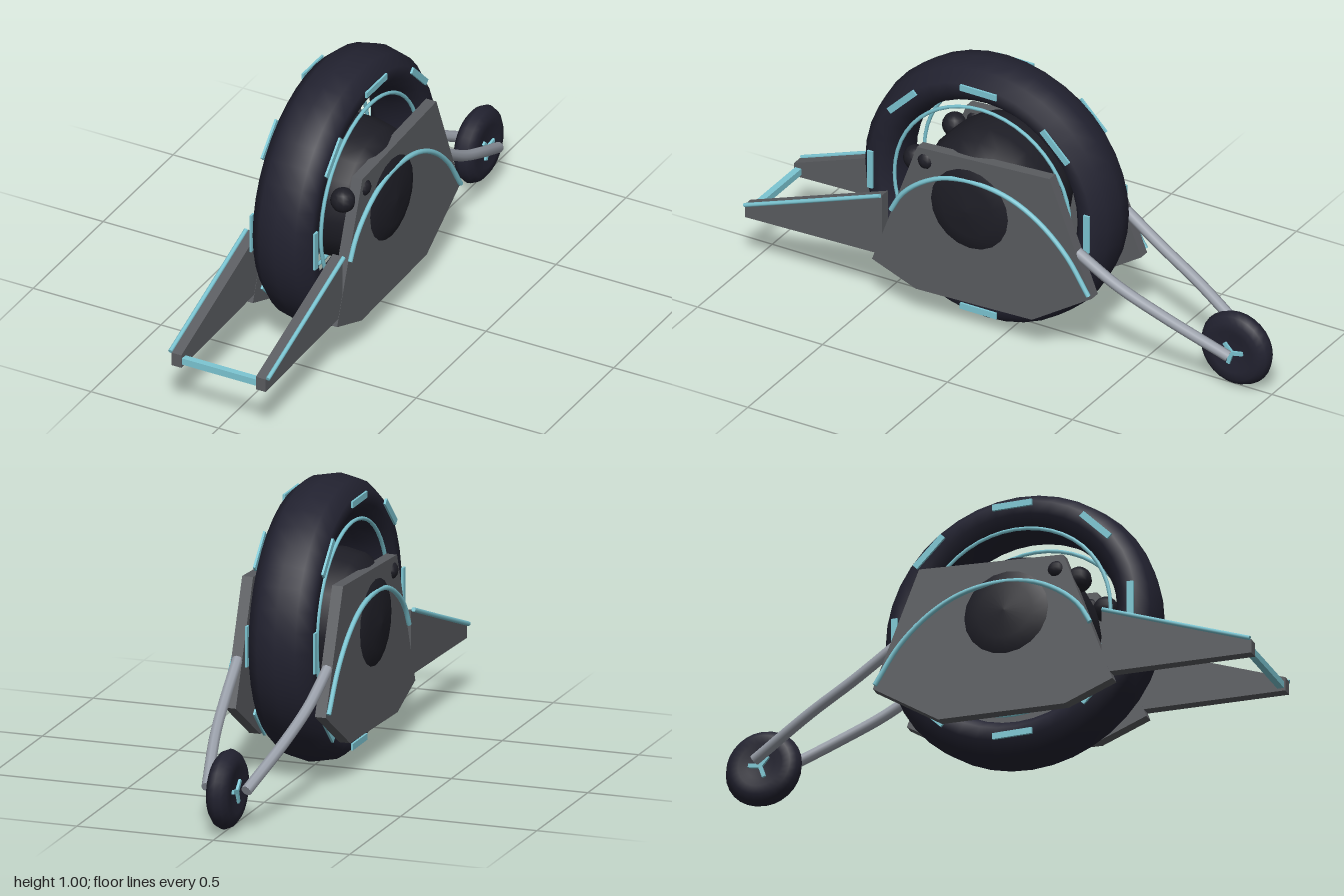
import * as THREE from 'three';

const mat = (name, color) => {
  const m = new THREE.MeshStandardMaterial({ color });
  m.name = name;
  return m;
};

export function createModel() {
  const tyreBlack = mat('tyre black', 0x222230);
  const hubBlack = mat('hub black', 0x1e1e26);
  const plateGrey = mat('plate grey', 0x5a5c60);
  const steel = mat('steel', 0x9aa0aa);
  const teal = mat('teal', 0x7cc6d3);

  const model = new THREE.Group();
  model.name = 'monowheelVehicle';

  const add = (name, geo, material, x = 0, y = 0, z = 0) => {
    const mesh = new THREE.Mesh(geo, material);
    mesh.name = name;
    mesh.position.set(x, y, z);
    model.add(mesh);
    return mesh;
  };
  // Slab with a (z, y) outline, centred on x
  const slab = (outline, width) => {
    const shape = new THREE.Shape(outline.map(([z, y]) => new THREE.Vector2(z, y)));
    const g = new THREE.ExtrudeGeometry(shape, { depth: width, bevelEnabled: false });
    g.translate(0, 0, -width / 2);
    return g.rotateY(-Math.PI / 2);
  };
  // Round tube through points, closed by a disc at each end
  const tube = (name, points, radius, material, steps = 24) => {
    const curve = new THREE.CatmullRomCurve3(points.map((p) => new THREE.Vector3(...p)));
    add(name, new THREE.TubeGeometry(curve, steps, radius, 8), material);
    for (const t of [0, 1]) {
      const p = curve.getPoint(t);
      const out = curve.getTangent(t).multiplyScalar(t ? 1 : -1);
      const cap = add(name + 'Cap', new THREE.CircleGeometry(radius, 8), material, p.x, p.y, p.z);
      cap.lookAt(p.clone().add(out));
    }
  };
  // Solid turned around the x axis from (radius, x) points
  const turned = (profile, segments) =>
    new THREE.LatheGeometry(profile.map(([r, x]) => new THREE.Vector2(r, x)), segments).rotateZ(-Math.PI / 2);

  const WY = 0.5, WZ = 0.1;

  // Main tyre: wide torus with ten-sided section
  const tyre = new THREE.TorusGeometry(0.425, 0.075, 10, 40);
  tyre.scale(1, 1, 1.6);
  tyre.rotateY(Math.PI / 2);
  add('mainTyre', tyre, tyreBlack, 0, WY, WZ);

  // Bulging hub
  const half = [[0.15, 0.187], [0.2, 0.162], [0.235, 0.12], [0.25, 0.05]];
  const hub = [[0, 0.21], [0.1, 0.202], ...half];
  const hubProfile = [...hub.map(([r, x]) => [r, -x]), ...hub.slice().reverse()];
  add('hub', turned(hubProfile, 20), hubBlack, 0, WY, WZ);

  const plateOutline = [[0.49, 0.187], [0.315, 0.12], [-0.15, 0.135], [-0.39, 0.29], [-0.22, 0.715], [0.31, 0.685]];
  const armOutline = [[0.45, 0.215], [0.45, 0.45], [1, 0.25], [1, 0.2]];

  for (const s of [1, -1]) {
    // Light ring inside the tyre
    const ring = new THREE.TorusGeometry(0.351, 0.007, 6, 48).rotateY(Math.PI / 2);
    add('rimLightRing', ring, teal, s * 0.1, WY, WZ);

    // Light strips on the tyre wall
    for (let i = 0; i < 8; i++) {
      const a = (i * Math.PI) / 4;
      const strip = add('tyreLight', new THREE.BoxGeometry(0.008, 0.023, 0.145), teal,
        s * 0.125, WY + Math.cos(a) * 0.433, WZ + Math.sin(a) * 0.433);
      strip.rotation.x = a;
    }

    // Body side plate and front arm
    add('sidePlate', slab(plateOutline, 0.04), plateGrey, s * 0.165);
    add('frontArm', slab(armOutline, 0.038), plateGrey, s * 0.165);

    // Teal trims on the arm and the plate
    tube('armTrim', [[s * 0.191, 0.45, 0.455], [s * 0.191, 0.35, 0.727], [s * 0.191, 0.252, 0.997]], 0.008, teal, 4);
    tube('plateTrim', [[0.41, 0.41], [0.37, 0.48], [0.3, 0.545], [0.2, 0.597], [0.08, 0.615], [-0.06, 0.595],
      [-0.18, 0.535], [-0.29, 0.435], [-0.38, 0.3]].map(([z, y]) => [s * 0.192, y, z]), 0.009, teal, 32);

    // Rounded knobs at the front of the hub
    add('innerKnob', new THREE.SphereGeometry(0.045, 12, 8), hubBlack, s * 0.13, 0.607, 0.347);
    add('outerKnob', new THREE.SphereGeometry(0.035, 12, 8), hubBlack, s * 0.165, 0.636, 0.28);

    // Curved strut to the trailing wheel
    tube('rearStrut', [[s * 0.165, 0.445, -0.32], [s * 0.153, 0.352, -0.47], [s * 0.127, 0.266, -0.64],
      [s * 0.072, 0.148, -0.868]], 0.02, steel);

    // Spokes of the trailing wheel
    for (let i = 0; i < 3; i++) {
      const a = -Math.PI / 2 + 0.2 + (i * Math.PI * 2) / 3;
      const spoke = add('rearSpoke', new THREE.BoxGeometry(0.012, 0.045, 0.014), teal,
        s * 0.034, 0.14 + Math.cos(a) * 0.022, -0.86 + Math.sin(a) * 0.022);
      spoke.rotation.x = a;
    }
  }

  // Bar joining the front arms
  add('frontCrossbar', new THREE.BoxGeometry(0.292, 0.025, 0.024), teal, 0, 0.223, 0.983);

  // Trailing wheel, slightly dished in the middle
  const side = [[0, 0.03], [0.05, 0.032], [0.08, 0.04], [0.11, 0.038], [0.13, 0.023], [0.14, 0]];
  const small = [...side.map(([r, x]) => [r, -x]), ...side.slice(0, -1).reverse()];
  add('rearWheel', turned(small, 28), tyreBlack, 0, 0.145, -0.86);

  return model;
}
